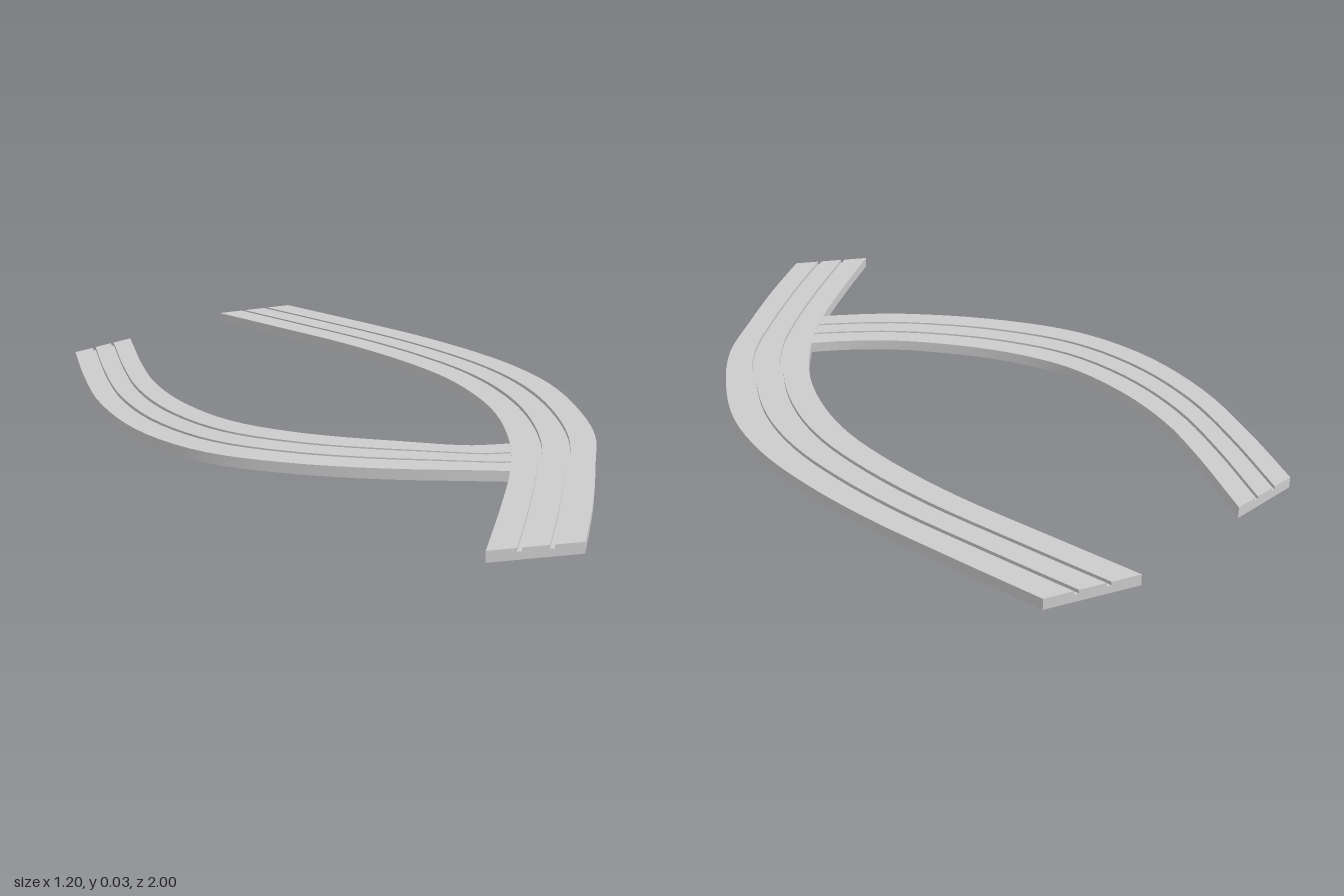
import * as THREE from 'three';
import { toCreasedNormals } from 'three/addons/utils/BufferGeometryUtils.js';

const HEIGHT = 0.028;
const GROOVE = 0.009;

// Cross-section as [fraction of width, height]: side skirts, deck and two slots
const SECTION = [
  [0, 0], [0, HEIGHT],
  [0.31, HEIGHT], [0.31, HEIGHT - GROOVE], [0.36, HEIGHT - GROOVE], [0.36, HEIGHT],
  [0.64, HEIGHT], [0.64, HEIGHT - GROOVE], [0.69, HEIGHT - GROOVE], [0.69, HEIGHT],
  [1, HEIGHT], [1, 0],
];

const edgeCurve = (points) =>
  new THREE.CatmullRomCurve3(points.map(([x, z]) => new THREE.Vector3(x, 0, z)), false, 'centripetal');

// Sweeps the section between two paired edge curves; the underside stays open
function trackGeometry(leftPoints, rightPoints, lift, steps) {
  const left = edgeCurve(leftPoints), right = edgeCurve(rightPoints);
  const positions = [];
  const quad = (a, b, c, d) => {
    for (const p of [a, b, c, a, c, d]) positions.push(p.x, p.y, p.z);
  };
  const rings = [];
  for (let i = 0; i <= steps; i++) {
    const t = i / steps;
    const l = left.getPoint(t), r = right.getPoint(t);
    rings.push(SECTION.map(([u, y]) => {
      const p = l.clone().lerp(r, u);
      p.y = y + lift(t);
      return p;
    }));
  }
  for (let i = 0; i < steps; i++) {
    for (let j = 0; j < SECTION.length - 1; j++) {
      quad(rings[i][j], rings[i + 1][j], rings[i + 1][j + 1], rings[i][j + 1]);
    }
  }
  // End plates follow the slotted outline
  const endPlate = (ring, t, flip) => {
    for (let j = 1; j < SECTION.length - 2; j++) {
      if (SECTION[j][0] === SECTION[j + 1][0]) continue;
      const a = ring[j], b = ring[j + 1];
      const a0 = a.clone().setY(lift(t)), b0 = b.clone().setY(lift(t));
      if (flip) quad(a0, a, b, b0);
      else quad(a0, b0, b, a);
    }
  };
  endPlate(rings[0], 0, true);
  endPlate(rings[steps], 1, false);

  const geometry = new THREE.BufferGeometry();
  geometry.setAttribute('position', new THREE.Float32BufferAttribute(positions, 3));
  return toCreasedNormals(geometry, Math.PI / 6);
}

export function createModel() {
  const group = new THREE.Group();
  group.name = 'trackJunction';
  const material = new THREE.MeshStandardMaterial({ color: 0xcccccc, side: THREE.DoubleSide });

  const add = (name, left, right, lift, steps) => {
    const mesh = new THREE.Mesh(trackGeometry(left, right, lift, steps), material);
    mesh.name = name;
    group.add(mesh);
  };

  // Wide track, bowed toward +x
  add('mainTrack',
    [[-0.05, -0.99], [0.075, -0.77], [0.2, -0.545], [0.29, -0.34], [0.345, -0.16], [0.363, 0],
      [0.35, 0.185], [0.285, 0.4], [0.2, 0.57], [0.07, 0.775], [-0.055, 0.96]],
    [[0.185, -1], [0.31, -0.78], [0.435, -0.55], [0.52, -0.355], [0.577, -0.17], [0.598, 0.02],
      [0.575, 0.21], [0.515, 0.42], [0.415, 0.6], [0.295, 0.8], [0.165, 0.995]],
    () => 0, 40);

  // Narrow track, rising slightly before it tucks beneath the wide one
  add('branchTrack',
    [[-0.57, -0.74], [-0.595, -0.5], [-0.602, -0.25], [-0.555, -0.005], [-0.445, 0.195],
      [-0.26, 0.355], [-0.025, 0.487], [0.2, 0.57], [0.235, 0.582]],
    [[-0.385, -0.82], [-0.415, -0.555], [-0.422, -0.38], [-0.395, -0.19], [-0.32, 0],
      [-0.19, 0.15], [-0.01, 0.28], [0.175, 0.375], [0.31, 0.407]],
    (t) => 0.005 * THREE.MathUtils.smoothstep(t, 0.3, 0.72)
      - 0.0065 * THREE.MathUtils.smoothstep(t, 0.76, 0.9), 36);

  return group;
}
